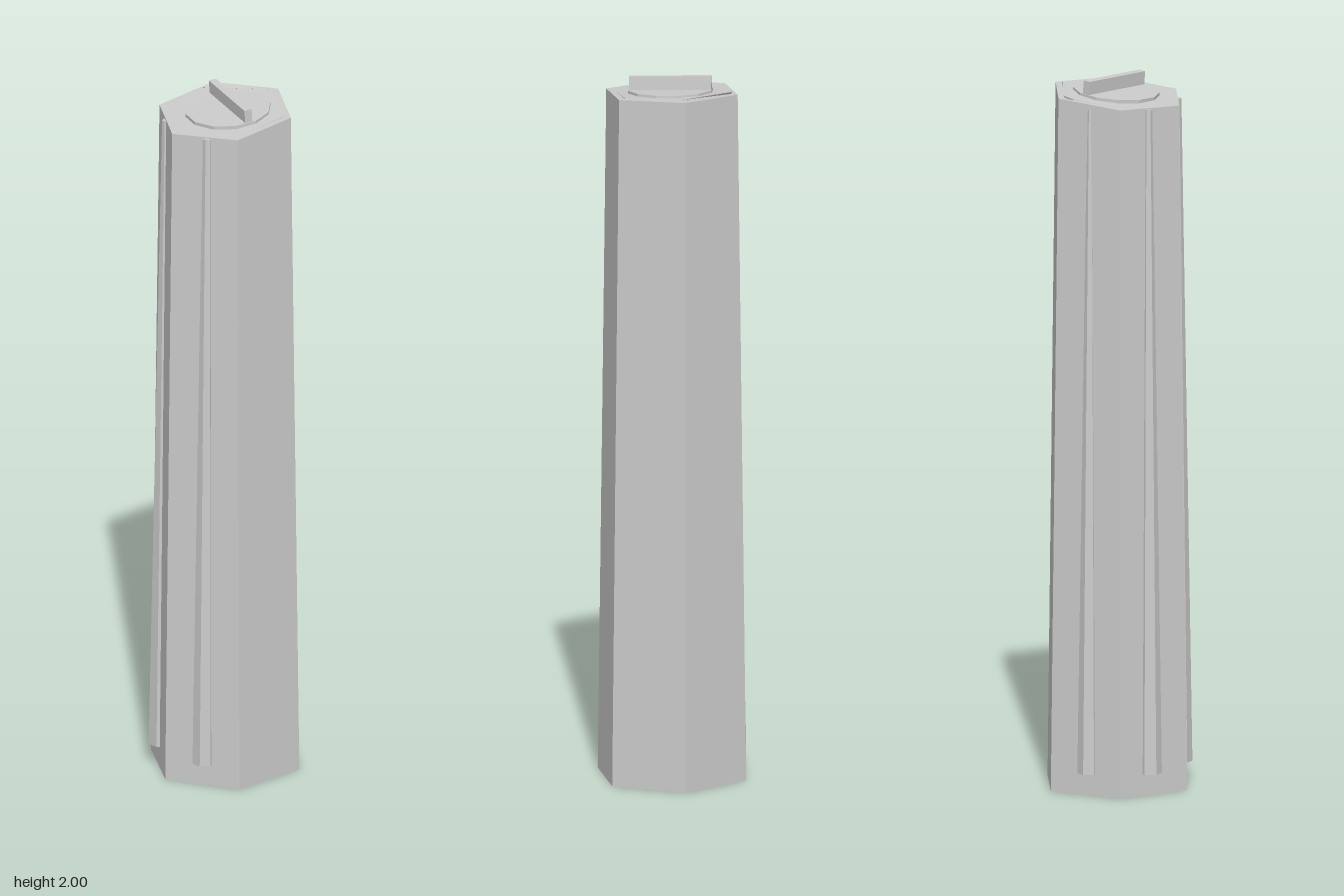
import * as THREE from 'three';

const CX = 0.01;      // axis of the column
const TILT = 0.078;   // slope of the top, rising toward the back
const material = new THREE.MeshStandardMaterial({ color: 0xcccccc, flatShading: true });

function part(name, geometry, parent) {
  const mesh = new THREE.Mesh(geometry, material);
  mesh.name = name;
  parent.add(mesh);
  return mesh;
}

// Hexagonal rib that tapers and leans from a lower to an upper centre
function ribGeometry(low, high) {
  const y0 = 0.06, y1 = 1.935, h = y1 - y0;
  const g = new THREE.CylinderGeometry(high.r, low.r, h, 6, 1, false, low.turn);
  g.translate(0, h / 2, 0);
  const p = g.attributes.position;
  for (let i = 0; i < p.count; i++) {
    const t = p.getY(i) / h;
    p.setXYZ(i,
      p.getX(i) + low.x + (high.x - low.x) * t,
      p.getY(i) + y0,
      p.getZ(i) + low.z + (high.z - low.z) * t);
  }
  g.computeVertexNormals();
  return g;
}

export function createModel() {
  const group = new THREE.Group();
  group.name = 'hexagonalColumn';

  // Tapered six-sided body with a sloping top
  const body = new THREE.CylinderGeometry(0.193, 0.218, 1.95, 6);
  body.translate(CX, 0.975, 0);
  const p = body.attributes.position;
  for (let i = 0; i < p.count; i++) {
    if (p.getY(i) > 1) p.setY(i, 1.95 - TILT * p.getZ(i));
  }
  body.computeVertexNormals();
  part('body', body, group);

  // Ribs on the right and the two front faces
  const ribs = [
    ['sideRib', { x: -0.17, z: 0.003, r: 0.03, turn: Math.PI / 2 }, { x: -0.152, z: 0, r: 0.008 }],
    ['frontRightRib', { x: -0.087, z: 0.153, r: 0.033, turn: Math.PI / 6 }, { x: -0.076, z: 0.142, r: 0.011 }],
    ['frontLeftRib', { x: 0.098, z: 0.154, r: 0.031, turn: Math.PI / 6 }, { x: 0.098, z: 0.141, r: 0.012 }],
  ];
  for (const [name, low, high] of ribs) part(name, ribGeometry(low, high), group);

  // Inner plate, steeper than the rim so that only its rear shows
  const plate = part('topPlate', new THREE.CylinderGeometry(0.172, 0.175, 0.01, 6), group);
  plate.position.set(CX, 1.946, 0);
  plate.rotation.set(0.1, 0, 0);

  // Raised chip along the rear right edge of the plate
  const chip = new THREE.BufferGeometry();
  const a = [0.01, 1.969, -0.17], b = [-0.14, 1.964, -0.09], c = [-0.15, 1.957, -0.05];
  const d = [-0.14, 1.95, -0.08];
  chip.setAttribute('position', new THREE.Float32BufferAttribute(
    [a, b, c, a, c, d, a, d, b, b, d, c].flat(2), 3));
  chip.computeVertexNormals();
  part('rimChip', chip, group);

  // Round dial with a straight grip across it
  const dial = new THREE.Group();
  dial.name = 'dial';
  dial.position.set(0.015, 1.952, -0.006);
  dial.rotation.x = TILT;
  group.add(dial);
  part('dialDisc', new THREE.CylinderGeometry(0.12, 0.12, 0.016, 12), dial);
  const grip = part('grip', new THREE.BoxGeometry(0.228, 0.05, 0.022), dial);
  grip.position.set(0.002, 0.0205, -0.01);
  grip.rotation.y = -0.26;

  return group;
}
